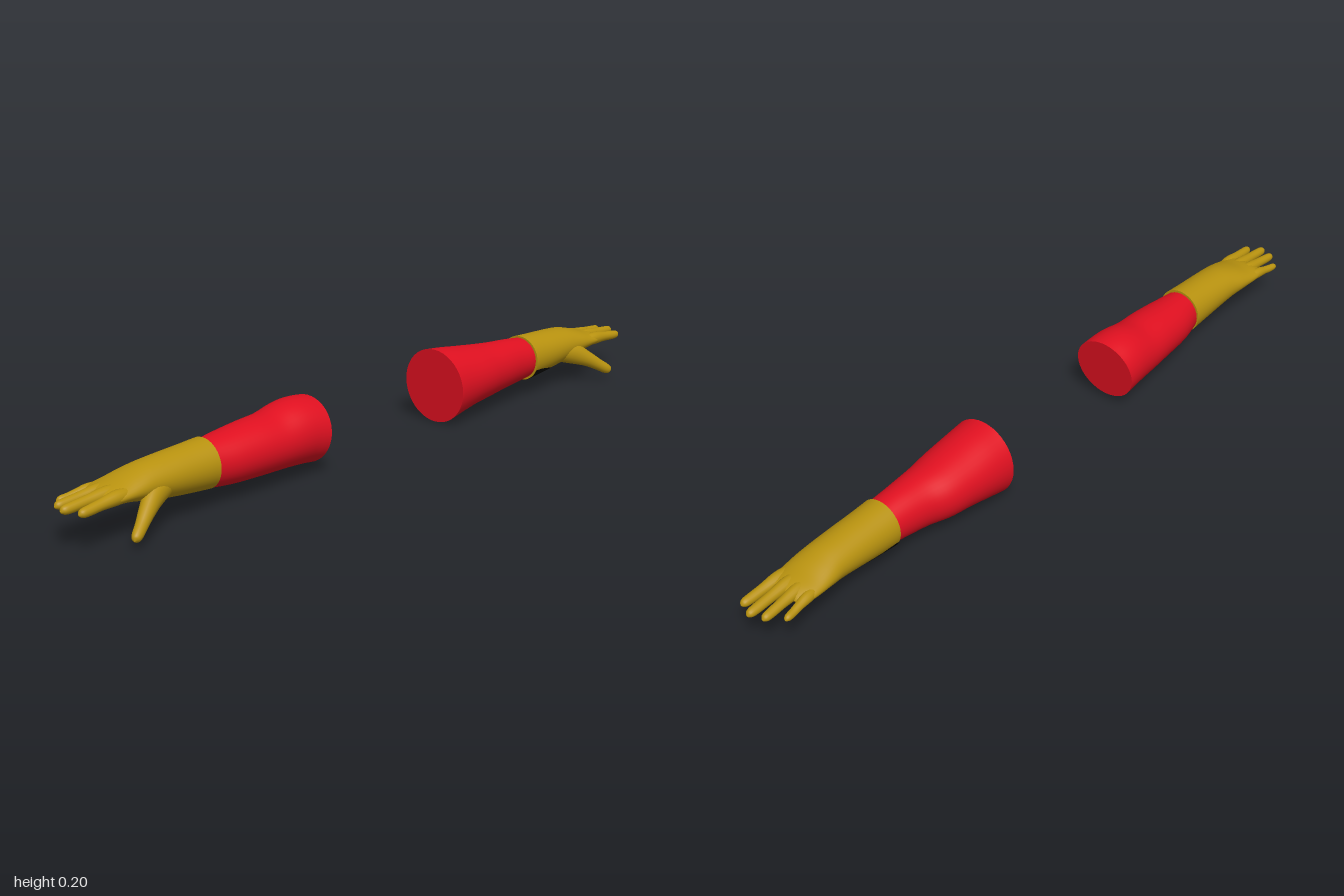
import * as THREE from 'three';
import { mergeVertices } from 'three/addons/utils/BufferGeometryUtils.js';

const RED = new THREE.MeshStandardMaterial({ color: 0xe01020, side: THREE.DoubleSide });
const GOLD = new THREE.MeshStandardMaterial({ color: 0xb8920f, side: THREE.DoubleSide });
const DARK = new THREE.MeshStandardMaterial({ color: 0x0c0b06, side: THREE.DoubleSide });

// Smooth loft through oval sections [x, y, z, ry, rz]; s = -1 mirrors it across x.
// span(u) gives the half angle covered, measured from the underside.
function loft(name, material, sections, s, { seg = 28, steps = 5, span = () => Math.PI, cap = false, grow = 0 } = {}) {
  const path = new THREE.CatmullRomCurve3(sections.map(p => new THREE.Vector3(p[0], p[1], p[2])), false, 'catmullrom');
  const size = new THREE.CatmullRomCurve3(sections.map(p => new THREE.Vector3(p[3], p[4], 0)), false, 'catmullrom');
  const rows = (sections.length - 1) * steps;
  const up = new THREE.Vector3(0, 1, 0);
  const pos = [], idx = [];
  const tri = (a, b, c) => (s > 0 ? idx.push(a, b, c) : idx.push(a, c, b));
  for (let i = 0; i <= rows; i++) {
    const u = i / rows, c = path.getPoint(u), r = size.getPoint(u), t = path.getTangent(u);
    const b = new THREE.Vector3().crossVectors(t, up).normalize();
    const n = new THREE.Vector3().crossVectors(b, t);
    for (let j = 0; j <= seg; j++) {
      const a = Math.PI + span(u) * (2 * j / seg - 1);
      const p = c.clone()
        .addScaledVector(n, Math.cos(a) * (Math.max(r.x, 0.0005) + grow))
        .addScaledVector(b, Math.sin(a) * (Math.max(r.y, 0.0005) + grow));
      pos.push(p.x * s, p.y, p.z);
      if (i < rows && j < seg) {
        const k = i * (seg + 1) + j, m = k + seg + 1;
        tri(k, k + 1, m);
        tri(k + 1, m + 1, m);
      }
    }
  }
  const make = (positions, index) => {
    let g = new THREE.BufferGeometry();
    g.setAttribute('position', new THREE.Float32BufferAttribute(positions, 3));
    g.setIndex(index);
    g = mergeVertices(g, 1e-5);
    g.computeVertexNormals();
    const mesh = new THREE.Mesh(g, material);
    mesh.name = name;
    return mesh;
  };
  const body = make(pos, [...idx]);
  if (cap) {
    // Flat disc closing the first section
    const ring = pos.slice(0, (seg + 1) * 3);
    ring.push(sections[0][0] * s, sections[0][1], sections[0][2]);
    idx.length = 0;
    for (let j = 0; j < seg; j++) tri(seg + 1, j + 1, j);
    const disc = make(ring, idx);
    disc.name = name + 'End';
    body.add(disc);
  }
  return body;
}

// The two sleeves differ slightly in how the cloth falls
const SLEEVES = {
  '1': [
    [0.24, 0.102, -0.011, 0.098, 0.096], [0.29, 0.104, -0.011, 0.090, 0.092],
    [0.35, 0.105, -0.010, 0.080, 0.087], [0.41, 0.104, -0.009, 0.073, 0.080],
    [0.47, 0.105, -0.004, 0.067, 0.067], [0.53, 0.106, -0.002, 0.062, 0.059],
    [0.585, 0.106, 0, 0.056, 0.055], [0.62, 0.106, 0, 0.052, 0.052]],
  '-1': [
    [0.24, 0.103, -0.011, 0.082, 0.087], [0.275, 0.107, -0.011, 0.082, 0.085],
    [0.31, 0.107, -0.010, 0.080, 0.083], [0.37, 0.103, -0.008, 0.072, 0.079],
    [0.44, 0.103, -0.005, 0.069, 0.075], [0.52, 0.102, -0.003, 0.064, 0.068],
    [0.585, 0.104, 0, 0.057, 0.056], [0.62, 0.106, 0, 0.052, 0.052]],
};

// Glove from cuff through wrist to knuckles
const GLOVE = [
  [0.585, 0.106, 0, 0.061, 0.061], [0.64, 0.107, 0, 0.057, 0.059],
  [0.70, 0.109, 0, 0.052, 0.058], [0.76, 0.111, -0.001, 0.045, 0.058],
  [0.80, 0.111, -0.003, 0.036, 0.061], [0.84, 0.109, -0.005, 0.026, 0.062],
  [0.875, 0.107, -0.006, 0.020, 0.060], [0.895, 0.106, -0.007, 0.012, 0.050],
  [0.902, 0.106, -0.007, 0.0005, 0.030]];

const THUMB = [
  [0.72, 0.102, 0.024, 0.028, 0.026], [0.77, 0.088, 0.042, 0.029, 0.024],
  [0.81, 0.068, 0.063, 0.021, 0.019], [0.84, 0.049, 0.079, 0.016, 0.015],
  [0.862, 0.035, 0.090, 0.014, 0.013], [0.873, 0.029, 0.095, 0.010, 0.009],
  [0.878, 0.026, 0.098, 0.0005, 0.0005]];

// name, base z, tip z, tip x, radius, height
const FINGERS = [
  ['indexFinger', 0.036, 0.044, 0.982, 0.0135, 0.103],
  ['middleFinger', 0.008, 0.006, 1.0, 0.0135, 0.106],
  ['ringFinger', -0.021, -0.029, 0.988, 0.013, 0.105],
  ['littleFinger', -0.048, -0.064, 0.955, 0.011, 0.101]];

function finger([name, z0, z1, tip, r, y], s) {
  const x0 = 0.835, at = (x, dy, k) => {
    const f = (x - x0) / (tip - x0);
    return [x, y + dy, z0 + (z1 - z0) * f, r * k, r * k];
  };
  const mid = (x0 + tip) / 2;
  return loft(name, GOLD, [
    at(x0, 0.006, 1.15), at(0.875, 0.007, 1.25), at(mid + 0.01, 0.004, 0.98),
    at(tip - 0.03, 0.001, 0.9), at(tip - 0.011, 0, 0.78),
    at(tip - 0.003, -0.001, 0.42), at(tip, -0.001, 0.02)], s, { seg: 16 });
}

function arm(s) {
  const g = new THREE.Group();
  g.name = s > 0 ? 'leftArm' : 'rightArm';
  g.add(loft('sleeve', RED, SLEEVES[s], s, { cap: true, seg: 40 }));
  const hand = new THREE.Group();
  hand.name = 'glovedHand';
  hand.add(loft('glove', GOLD, GLOVE, s, { cap: true, seg: 40 }));
  hand.add(loft('thumb', GOLD, THUMB, s, { seg: 20 }));
  FINGERS.forEach(f => hand.add(finger(f, s)));
  // Dark tapering patch under the left cuff
  if (s > 0) {
    hand.add(loft('cuffPatch', DARK, GLOVE.slice(0, 3), s,
      { span: u => 1.15 * Math.sqrt(Math.max(0.001, 1 - u * u)), grow: 0.001, steps: 8 }));
  }
  g.add(hand);
  return g;
}

export function createModel() {
  const model = new THREE.Group();
  model.name = 'arms';
  model.add(arm(1), arm(-1));
  return model;
}
